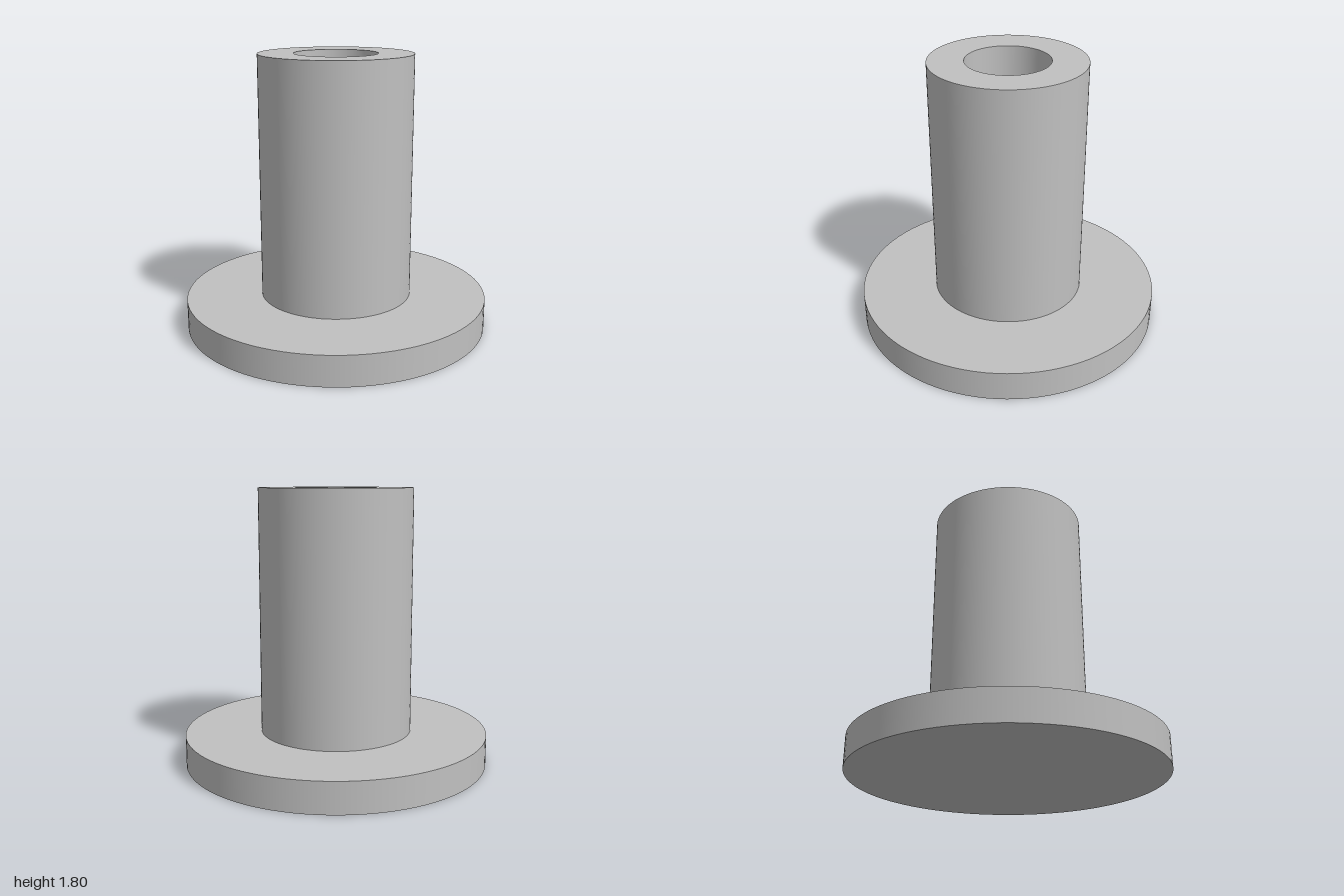
import * as THREE from 'three';
import { mergeGeometries } from 'three/addons/utils/BufferGeometryUtils.js';

const SEGMENTS = 96;

// Revolve each profile edge separately so rims stay sharp and walls smooth
function turned(profile) {
  const bands = [];
  for (let i = 0; i < profile.length - 1; i++) {
    const edge = [profile[i], profile[i + 1]].map(([r, y]) => new THREE.Vector2(r, y));
    bands.push(new THREE.LatheGeometry(edge, SEGMENTS));
  }
  return mergeGeometries(bands);
}

export function createModel() {
  const group = new THREE.Group();
  group.name = 'flangedBushing';

  const grey = new THREE.MeshStandardMaterial({ color: 0xc0c0c0 });
  grey.name = 'light grey';

  const flangeRadius = 1, sleeveRadius = 0.5, boreRadius = 0.27;
  const flangeTop = 0.2, sleeveTop = 1.8;

  const parts = {
    // Round base plate, closed underneath
    flange: [[0, 0], [flangeRadius, 0], [flangeRadius, flangeTop], [sleeveRadius, flangeTop]],
    // Upright tube with its top rim and blind bore
    sleeve: [
      [sleeveRadius, flangeTop], [sleeveRadius, sleeveTop],
      [boreRadius, sleeveTop], [boreRadius, flangeTop], [0, flangeTop],
    ],
  };

  for (const [name, profile] of Object.entries(parts)) {
    const mesh = new THREE.Mesh(turned(profile), grey);
    mesh.name = name;
    group.add(mesh);
  }
  return group;
}
